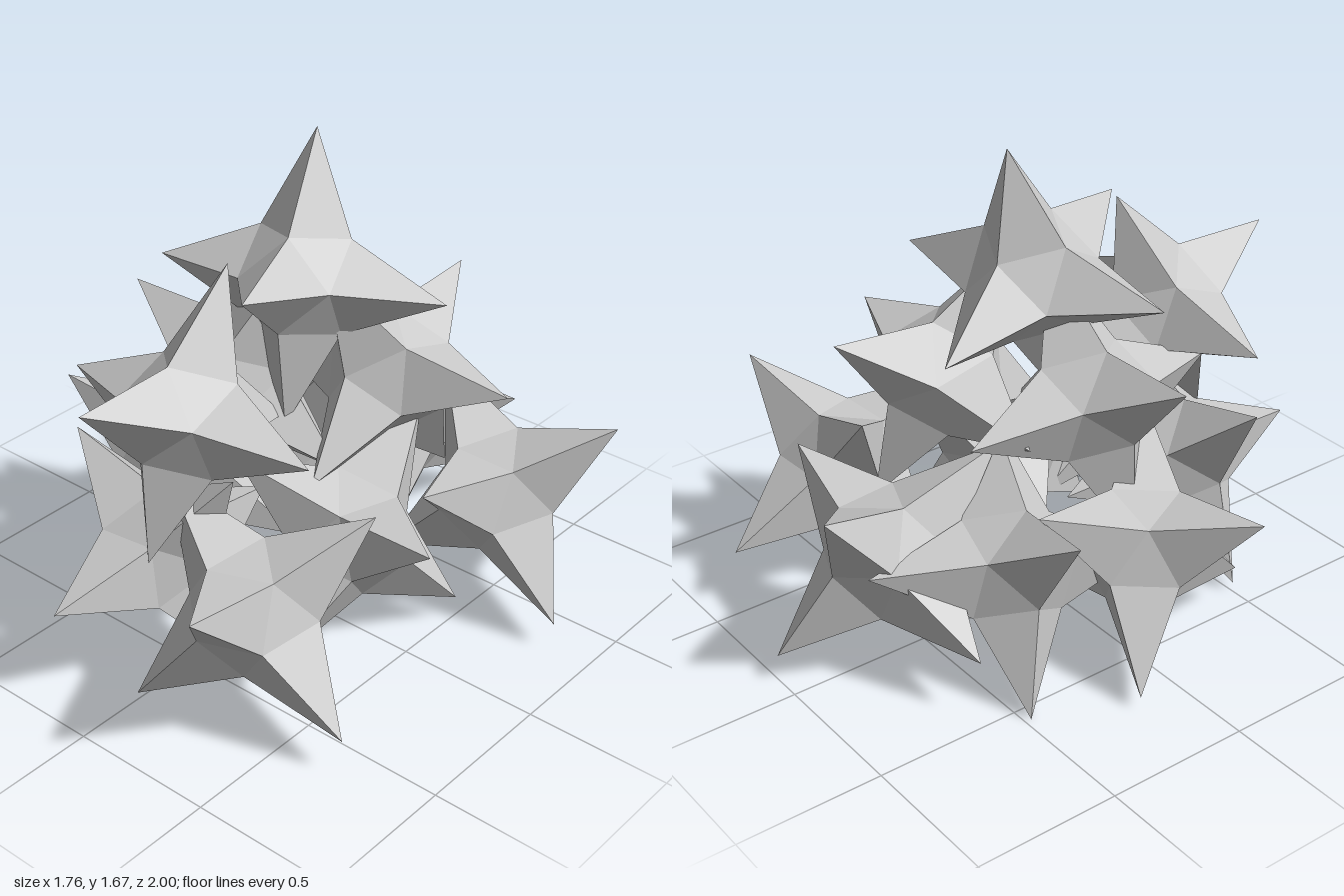
import * as THREE from 'three';

const TIP = 0.488;    // centre to spike tip
const VALLEY = 0.219; // centre to the notches between spikes

// Six-spiked star: a once-divided octahedron with its edge midpoints pulled in
function starGeometry() {
  const geo = new THREE.OctahedronGeometry(1, 1);
  const pos = geo.attributes.position;
  const v = new THREE.Vector3();
  for (let i = 0; i < pos.count; i++) {
    v.fromBufferAttribute(pos, i);
    const isTip = Math.max(Math.abs(v.x), Math.abs(v.y), Math.abs(v.z)) > 0.9;
    v.setLength(isTip ? TIP : VALLEY);
    pos.setXYZ(i, v.x, v.y, v.z);
  }
  geo.computeVertexNormals();
  return geo;
}

// Each star: name, centre, and the positions of two neighbouring spike tips
const STARS = [
  ['topStar', [0, 1.205, -0.045], [-0.04, 1.68, -0.17], [0.15, 1.34, 0.4]],
  // middle layer
  ['middleFrontStar', [0, 0.94, 0.49], [0, 1.39, 0.295], [0.49, 0.94, 0.49]],
  ['middleRightStar', [-0.21, 0.82, 0.035], [-0.645, 1.02, 0.04], [-0.21, 0.8, -0.45]],
  ['middleLeftStar', [0.195, 0.85, -0.26], [0.685, 0.93, -0.25], [0.16, 1.08, -0.68]],
  // bottom layer
  ['bottomFrontLeftStar', [0.342, 0.427, 0.575], [0.61, 0.745, 0.325], [0.465, 0.645, 0.99]],
  ['bottomFrontStar', [-0.107, 0.41, 0.505], [-0.415, 0.03, 0.505], [-0.107, 0.41, 0.99]],
  ['bottomRightStar', [-0.47, 0.4, 0.04], [-0.88, 0.625, 0.175], [-0.47, 0.14, 0.46]],
  ['bottomBackRightStar', [-0.3, 0.396, -0.356], [-0.555, 0.01, -0.475], [-0.695, 0.68, -0.395]],
  ['bottomBackStar', [-0.03, 0.425, -0.65], [-0.21, 0.735, -0.975], [0.08, 0.11, -0.995]],
  ['bottomBackLeftStar', [0.522, 0.43, -0.458], [0.875, 0.735, -0.6], [0.855, 0.1, -0.33]],
  ['bottomLeftStar', [0.296, 0.42, 0.05], [0.295, 0.09, 0.41], [0.52, 0.105, -0.245]],
];

export function createModel() {
  const group = new THREE.Group();
  group.name = 'starPile';
  const geo = starGeometry();
  const material = new THREE.MeshStandardMaterial({ color: 0xcccccc, flatShading: true });

  for (const [name, centre, tipA, tipB] of STARS) {
    const c = new THREE.Vector3(...centre);
    const x = new THREE.Vector3(...tipA).sub(c).normalize();
    const y = new THREE.Vector3(...tipB).sub(c);
    y.addScaledVector(x, -y.dot(x)).normalize();
    const z = new THREE.Vector3().crossVectors(x, y);
    const star = new THREE.Mesh(geo, material);
    star.name = name;
    star.position.copy(c);
    star.quaternion.setFromRotationMatrix(new THREE.Matrix4().makeBasis(x, y, z));
    group.add(star);
  }
  return group;
}
